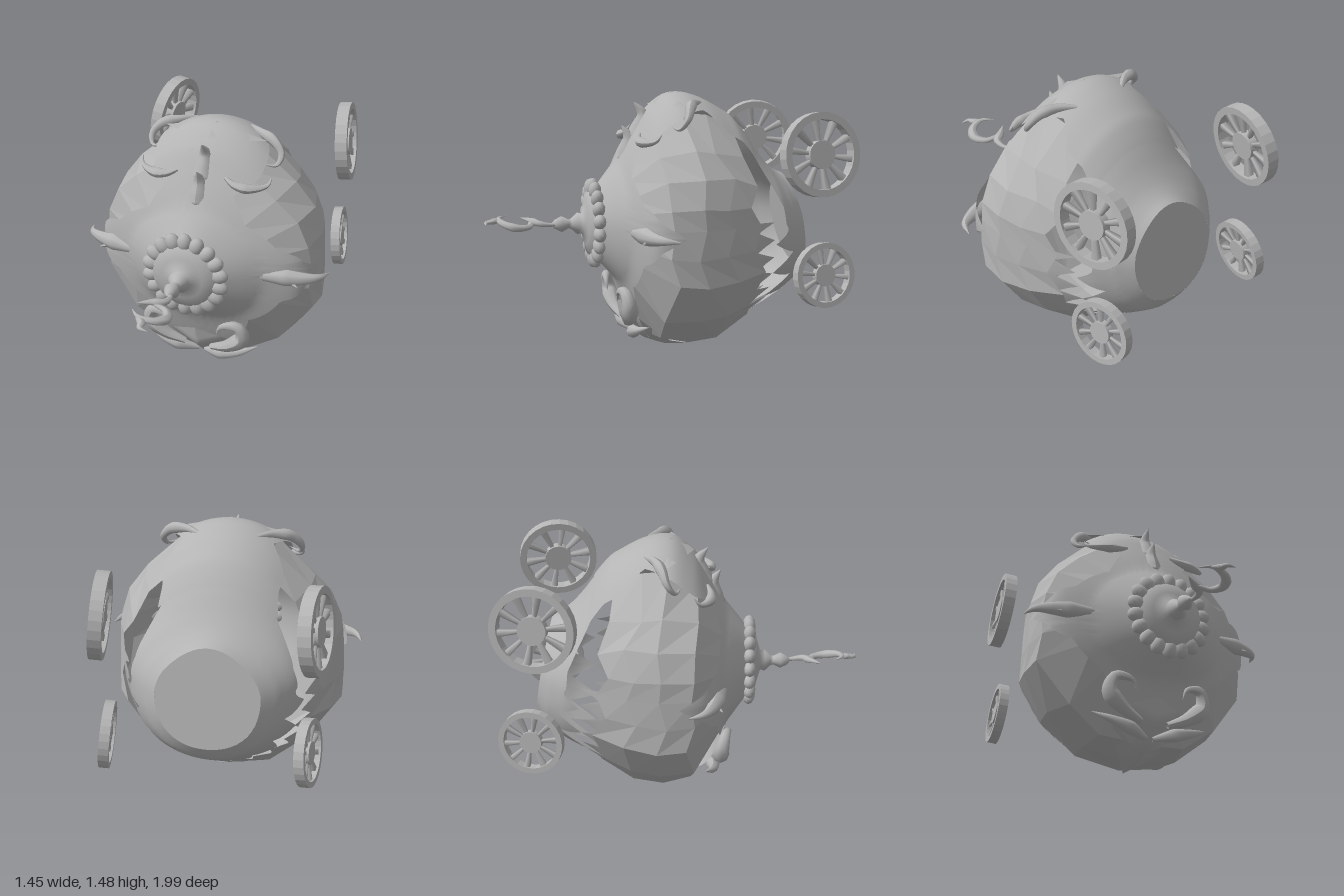
import * as THREE from 'three';

const stone = new THREE.MeshStandardMaterial({ color: 0xb4b4b4, side: THREE.DoubleSide });
stone.name = 'stone grey';
const CY = 0.74, rad = Math.PI / 180;

// Body radius upward, sideways and downward at stations along z
const stations = [0.37, 0.24, 0.17, 0.08, -0.05, -0.2, -0.4, -0.5, -0.62, -0.72, -0.785];
const radii = new THREE.CatmullRomCurve3([
  [0.19, 0.19, 0.19], [0.34, 0.4, 0.34], [0.47, 0.57, 0.53], [0.61, 0.62, 0.65], [0.71, 0.635, 0.69], [0.7, 0.62, 0.715],
  [0.6, 0.55, 0.62], [0.49, 0.5, 0.54], [0.37, 0.45, 0.45], [0.29, 0.36, 0.37], [0.26, 0.28, 0.28],
].map(p => new THREE.Vector3(...p)), false, 'catmullrom', 0.5);

// Point on the body skin at an angle (degrees, 90 = up) and a depth z
function onBody(deg, z, k = 1) {
  const n = stations.length - 1;
  let i = 0;
  while (i < n - 1 && z < stations[i + 1]) i++;
  const f = THREE.MathUtils.clamp((stations[i] - z) / (stations[i] - stations[i + 1]), 0, 1);
  const r = radii.getPoint((i + f) / n);
  const c = Math.cos(deg * rad), s = Math.sin(deg * rad);
  const R = k * (c * c * r.y + s * s * (s > 0 ? r.x : r.z)) * (1 + (s > 0 ? -0.055 : 0.03) * (2 * s * c) ** 2);
  const tilt = 0.18 * R * s * THREE.MathUtils.smoothstep(-z, 0.45, 0.8);
  return new THREE.Vector3(R * c, CY + R * s, z + tilt);
}

// Sheet whose grid points follow f(u, v)
function sheet(nu, nv, f, faceted = false) {
  let g = new THREE.PlaneGeometry(1, 1, nu, nv);
  const p = g.attributes.position;
  for (let j = 0, n = 0; j <= nv; j++)
    for (let i = 0; i <= nu; i++, n++) {
      const q = f(i / nu, j / nv, i, j);
      p.setXYZ(n, q.x, Math.max(q.y, 0), q.z);
    }
  if (faceted) g = g.toNonIndexed();
  g.computeVertexNormals();
  return g;
}

// Tapering horn along a curve; the thick part sits at fraction "peak"
function horn(points, radius, peak = 0.25, flat = 1) {
  const curve = new THREE.CatmullRomCurve3(points.map(p => new THREE.Vector3(...p)));
  const nt = 24, nr = 8;
  const g = new THREE.TubeGeometry(curve, nt, radius, nr);
  const p = g.attributes.position, v = new THREE.Vector3();
  for (let i = 0; i <= nt; i++) {
    const t = i / nt, c = curve.getPointAt(t);
    const k = t < peak ? 0.35 + 0.65 * t / peak : Math.max(0.02, Math.pow((1 - t) / (1 - peak), 0.8));
    for (let j = 0; j <= nr; j++) {
      const n = i * (nr + 1) + j;
      v.fromBufferAttribute(p, n).sub(c).multiplyScalar(k);
      v.y *= flat;
      v.add(c);
      p.setXYZ(n, v.x, Math.max(v.y, 0), v.z);
    }
  }
  g.computeVertexNormals();
  return g;
}

function add(parent, name, geometry) {
  const m = new THREE.Mesh(geometry, stone);
  m.name = name;
  parent.add(m);
  return m;
}

// Piecewise linear lookup through [x, y] pairs with rising x
function ramp(x, pairs) {
  for (let i = 1; i < pairs.length; i++)
    if (x <= pairs[i][0]) return THREE.MathUtils.mapLinear(x, pairs[i - 1][0], pairs[i][0], pairs[i - 1][1], pairs[i][1]);
  return pairs[pairs.length - 1][1];
}
const zigzag = t => Math.abs(t % 2 - 1);

// Spoked wheel with its axle along y
function wheel(name, R) {
  const w = new THREE.Group();
  w.name = name;
  const h = R * 0.15, inner = R * 0.83;
  const rim = new THREE.LatheGeometry([[inner, -h], [R, -h], [R, h], [inner, h], [inner, -h]]
    .map(p => new THREE.Vector2(...p)), 28).toNonIndexed();
  rim.computeVertexNormals();
  add(w, 'rim', rim);
  add(w, 'hub', new THREE.CylinderGeometry(R * 0.34, R * 0.34, h * 1.5, 20));
  for (let i = 0; i < 10; i++) {
    const g = new THREE.CylinderGeometry(R * 0.12, R * 0.06, R * 0.58, 4, 1, false, Math.PI / 4);
    g.translate(0, R * 0.57, 0).rotateX(Math.PI / 2).rotateY(i * Math.PI / 5);
    add(w, 'spoke', g);
  }
  return w;
}

// Everything that is mirrored left and right
function createSide() {
  const side = new THREE.Group();
  // Cut-stone flank panels; each column is [angle, bulge, back edge]
  const panel = (name, columns, seed) => add(side, name, sheet(columns.length - 1, 4, (u, v, i, j) => {
    const h = n => { const s = Math.sin(i * 12.99 + j * 78.23 + seed + n * 37.7) * 43758.5; return s - Math.floor(s) - 0.5; };
    const [angle, bulge, back] = columns[i];
    const inner = i > 0 && i < columns.length - 1 && j > 0 && j < 4 ? 1 : 0;
    const z = THREE.MathUtils.lerp(0.235, back, v) + inner * h(1) * 0.05;
    return onBody(angle + inner * h(2) * 5, z, (j > 0 ? bulge : 1) + inner * h(3) * 0.02);
  }, true));
  panel('upperFacetedPanel', [[3, 1, -0.45], [14, 1.02, -0.38], [27, 1.03, -0.44], [45, 1.015, -0.38], [68, 1, -0.36]], 3);
  panel('lowerFacetedPanel', [[-90, 1, -0.4], [-67, 1.015, -0.47], [-46, 1.01, -0.42], [-24, 1.06, -0.48], [-10, 1.02, -0.4], [3, 1, -0.45]], 8);
  // Jagged collar behind the lower panel
  add(side, 'jaggedCollar', sheet(32, 4, (u, v) =>
    onBody(-90 + 95 * u, THREE.MathUtils.lerp(-0.34, -0.43 - 0.11 * zigzag(u * 16), v), 0.99)));
  // Scrolls on the crown
  add(side, 'crownScroll', horn([[0.16, 1.42, -0.2], [0.24, 1.42, -0.14], [0.33, 1.4, -0.1],
    [0.385, 1.34, -0.07], [0.37, 1.29, -0.03], [0.31, 1.3, 0]], 0.032, 0.4));
  add(side, 'crownCrescent', horn([[0.14, 1.25, 0.14], [0.2, 1.225, 0.16], [0.29, 1.215, 0.15],
    [0.37, 1.23, 0.1], [0.38, 1.27, 0.07]], 0.03, 0.4));
  // Side horns
  add(side, 'sideHorn', horn([[0.34, CY, 0.24], [0.5, CY, 0.2], [0.62, 0.74, 0.17], [0.69, 0.74, 0.13], [0.725, 0.735, 0.05]], 0.05, 0.4));
  add(side, 'sideThorn', horn([[0.42, 0.73, 0.18], [0.53, 0.72, 0.19], [0.6, 0.71, 0.23]], 0.035, 0.3));
  // Scrolls near the foot
  add(side, 'footScroll', horn([[0.08, 0.17, 0.2], [0.2, 0.22, 0.22], [0.285, 0.3, 0.23], [0.26, 0.38, 0.25],
    [0.17, 0.37, 0.27], [0.14, 0.31, 0.27]], 0.05, 0.4));
  add(side, 'footLeaf', horn([[0.02, 0.1, 0.14], [0.14, 0.13, 0.18], [0.25, 0.16, 0.18], [0.35, 0.2, 0.14]], 0.04, 0.35));
  // Leaning wheels
  const axle = new THREE.Vector3(1, 0.1, -0.15).normalize();
  for (const [name, R, x, y, z] of [['upperWheel', 0.23, 0.555, 1.155, -0.765], ['lowerWheel', 0.18, 0.535, 0.485, -0.81]]) {
    const w = wheel(name, R);
    w.position.set(x, y, z);
    w.quaternion.setFromUnitVectors(new THREE.Vector3(0, 1, 0), axle);
    side.add(w);
  }
  return side;
}

export function createModel() {
  const model = new THREE.Group();
  model.name = 'ornateCarriage';

  // Four-pointed roof on the front
  add(model, 'pointedRoof', sheet(144, 12, (u, v) => {
    const a = u * 360;
    const d = Math.abs(((a + 90) % 180) - 90);
    const end = ramp(d, [[0, 0], [7, 0.13], [18, 0.2], [45, 0.22], [64, 0.18], [90, 0.04]]);
    return onBody(a, THREE.MathUtils.lerp(0.37, end, v), 1.025);
  }));
  // Crown band running over the top
  add(model, 'crownBand', sheet(24, 32, (u, v) => {
    const z = THREE.MathUtils.lerp(0.2, -0.5, v);
    const half = ramp(-z, [[-0.2, 24], [-0.08, 32], [0.05, 28], [0.2, 21], [0.32, 32], [0.42, 34], [0.5, 42]]);
    return onBody(90 + (u * 2 - 1) * half, z, 1.025);
  }));
  // Toothed back shell with open side windows, and its flat end
  add(model, 'backShell', sheet(144, 14, (u, v) => {
    const d = Math.abs(u * 360 - 180);
    const edge = ramp(d, [[0, -0.42], [35, -0.47], [60, -0.57], [75, -0.62], [105, -0.62], [180, -0.58]]);
    const front = edge + 0.12 * (zigzag(u * 36) - 0.4) * THREE.MathUtils.smoothstep(d, 85, 100);
    return onBody(270 + u * 360, THREE.MathUtils.lerp(-0.785, front, v));
  }));
  add(model, 'backDisc', sheet(48, 1, (u, v) =>
    new THREE.Vector3(0, CY, -0.785).lerp(onBody(u * 360, -0.785), v), true));

  // Beaded ring, cap and finial on the roof
  for (let i = 0; i < 18; i++) {
    const a = (i + 0.5) * Math.PI / 9;
    const bead = add(model, 'roofBead', new THREE.SphereGeometry(0.042, 12, 8));
    bead.position.set(0.203 * Math.cos(a), CY + 0.203 * Math.sin(a), 0.38);
    bead.rotation.z = a;
    bead.scale.set(1.3, 1, 0.85);
  }
  const finial = new THREE.LatheGeometry([[0.2, 0.36], [0.18, 0.41], [0.12, 0.425], [0.055, 0.445], [0.062, 0.47], [0.03, 0.505],
    [0.025, 0.52], [0.045, 0.56], [0.025, 0.6], [0, 0.62]].map(p => new THREE.Vector2(...p)), 24);
  add(model, 'roofFinial', finial.rotateX(Math.PI / 2).translate(0, CY, 0));
  add(model, 'hookStem', horn([[0, CY, 0.58], [0.02, 0.74, 0.63], [0.015, 0.75, 0.69], [-0.04, 0.76, 0.73], [-0.1, 0.77, 0.78]], 0.028, 0.6, 0.7));
  add(model, 'hook', horn([[-0.03, 0.755, 0.73], [0.05, 0.74, 0.75], [0.085, 0.74, 0.82], [0.05, 0.76, 0.89],
    [-0.03, 0.78, 0.91], [-0.09, 0.785, 0.86]], 0.033, 0.45, 0.7));
  add(model, 'hookTail', horn([[-0.04, 0.775, 0.91], [0, 0.77, 0.94], [0.01, 0.765, 0.98], [0.06, 0.76, 0.99]], 0.025, 0.3, 0.7));

  // Centre thorns above
  add(model, 'crownThorn', horn([[0, 1.19, 0.12], [0, 1.27, 0.1], [0, 1.35, 0.09], [0, 1.42, 0.14]], 0.07, 0.1));
  add(model, 'roofThorn', horn([[0, 1.08, 0.17], [0, 1.14, 0.17], [0, 1.22, 0.17], [0, 1.29, 0.21]], 0.07, 0.1));
  add(model, 'crownPeak', new THREE.ConeGeometry(0.3, 0.07, 4).scale(1, 1, 0.45).translate(0, 1.442, -0.07));

  // Pointed shield wrapping under the foot, creased along its middle
  add(model, 'footShield', sheet(12, 16, (u, v) => {
    const across = u * 2 - 1, side = Math.abs(across);
    const half = ramp(v, [[0, 0], [0.35, 0.17], [0.6, 0.2], [1, 0]]);
    const y = ramp(v, [[0, 0.31], [0.35, 0.18], [0.6, 0.06], [0.8, 0.01], [1, 0]]);
    const z = ramp(v, [[0, 0.25], [0.35, 0.225], [0.6, 0.1], [0.8, -0.03], [1, -0.18]]);
    return new THREE.Vector3(across * half, y + side * half * 0.4, z - side * half * 0.15);
  }));

  // Left side and its mirror image
  const left = createSide();
  left.name = 'leftSide';
  const right = createSide();
  right.name = 'rightSide';
  right.scale.x = -1;
  model.add(left, right);
  return model;
}
